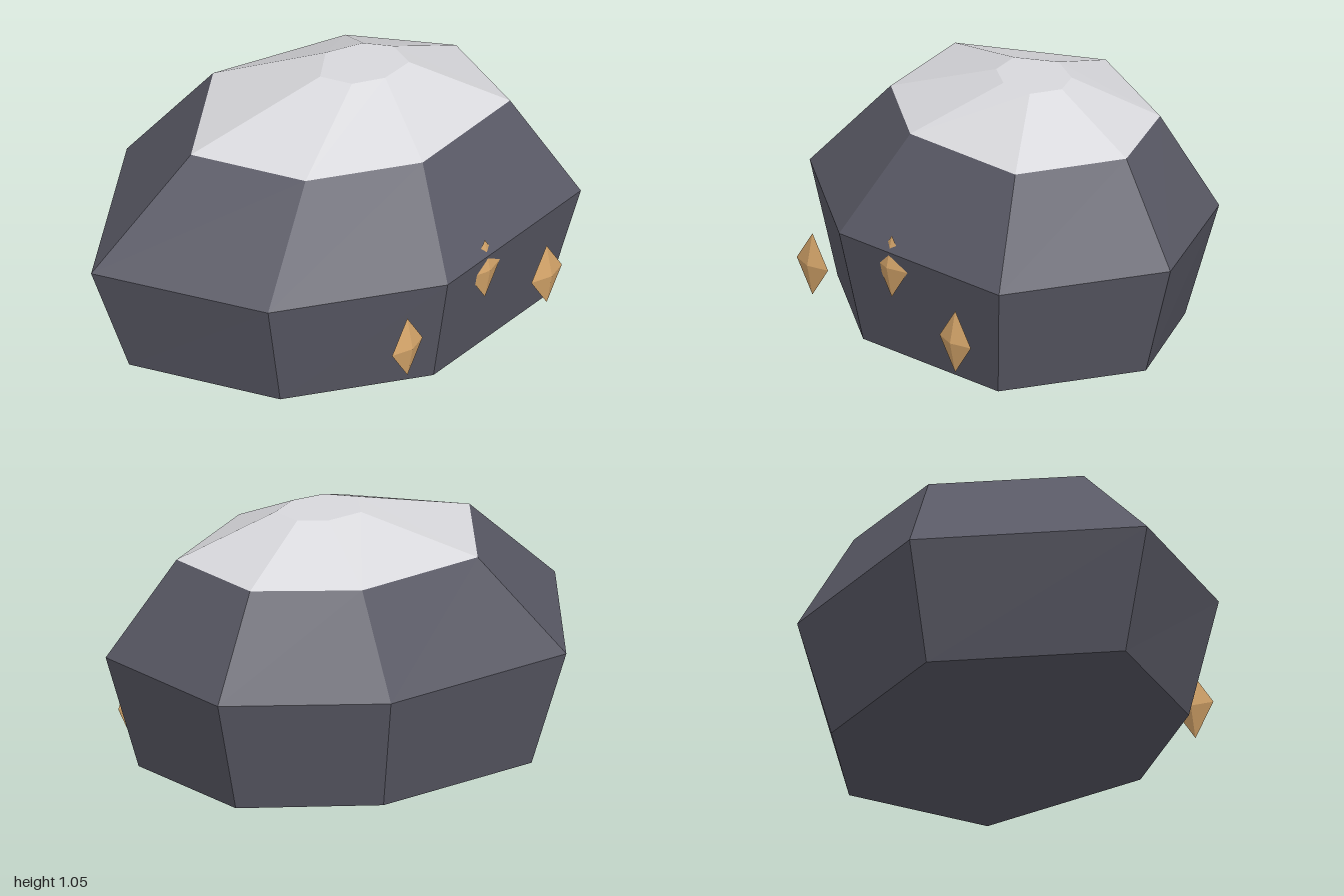
import * as THREE from 'three';

// Heptagonal cross-sections of the rock as [x, z], clockwise seen from above
const base = { y: 0, pts: [[-0.84, -0.25], [-0.17, -0.67], [0.54, -0.4], [0.855, 0.09], [0.62, 0.66], [-0.12, 0.71], [-0.65, 0.37]] };
const waist = { y: 0.472, pts: [[-1, -0.31], [-0.2, -0.81], [0.64, -0.49], [1, 0.09], [0.725, 0.75], [-0.15, 0.81], [-0.77, 0.41]] };
const shoulder = { y: 0.872, pts: [[-0.56, -0.17], [-0.04, -0.5], [0.515, -0.29], [0.74, 0.09], [0.565, 0.52], [-0.01, 0.56], [-0.415, 0.3]] };
const crown = { y: 1.047, pts: [[0, 0.02], [0.15, -0.08], [0.3, -0.015], [0.36, 0.09], [0.31, 0.215], [0.16, 0.22], [0.04, 0.15]] };

// Faceted shell through the rings, optionally closed below or above
function loft(rings, closeBottom, closeTop) {
  const positions = [];
  const tri = (...corners) => corners.forEach((c) => positions.push(...c));
  const at = (ring, i) => {
    const [x, z] = ring.pts[i % ring.pts.length];
    return [x, ring.y, z];
  };
  const n = rings[0].pts.length;
  for (let r = 0; r < rings.length - 1; r++) {
    const lo = rings[r], hi = rings[r + 1];
    for (let i = 0; i < n; i++) {
      tri(at(lo, i + 1), at(lo, i), at(hi, i));
      tri(at(lo, i + 1), at(hi, i), at(hi, i + 1));
    }
  }
  const first = rings[0], last = rings[rings.length - 1];
  for (let i = 1; i < n - 1; i++) {
    if (closeBottom) tri(at(first, 0), at(first, i), at(first, i + 1));
    if (closeTop) tri(at(last, 0), at(last, i + 1), at(last, i));
  }
  const geometry = new THREE.BufferGeometry();
  geometry.setAttribute('position', new THREE.Float32BufferAttribute(positions, 3));
  geometry.computeVertexNormals();
  return geometry;
}

function material(name, color) {
  const m = new THREE.MeshStandardMaterial({ color, flatShading: true });
  m.name = name;
  return m;
}

export function createModel() {
  const group = new THREE.Group();
  group.name = 'rock';
  const slate = material('slate', 0x5a5a66);
  const snow = material('pale grey', 0xd8d8dc);
  const gold = material('gold', 0xd9a86c);

  const add = (name, geometry, mat) => {
    const mesh = new THREE.Mesh(geometry, mat);
    mesh.name = name;
    group.add(mesh);
    return mesh;
  };

  // Dark body and pale cap
  add('rockBody', loft([base, waist, shoulder], true, false), slate);
  add('rockCap', loft([shoulder, crown], false, true), snow);

  // Flattened crystals along the front
  const crystal = new THREE.OctahedronGeometry(1);
  [[-0.35, 0.265], [0.118, 0.407], [0.492, 0.205]].forEach(([x, y], i) => {
    const mesh = add('crystal' + (i + 1), crystal, gold);
    mesh.position.set(x, y, 0.772);
    mesh.scale.set(0.092, 0.131, 0.028);
  });

  return group;
}
